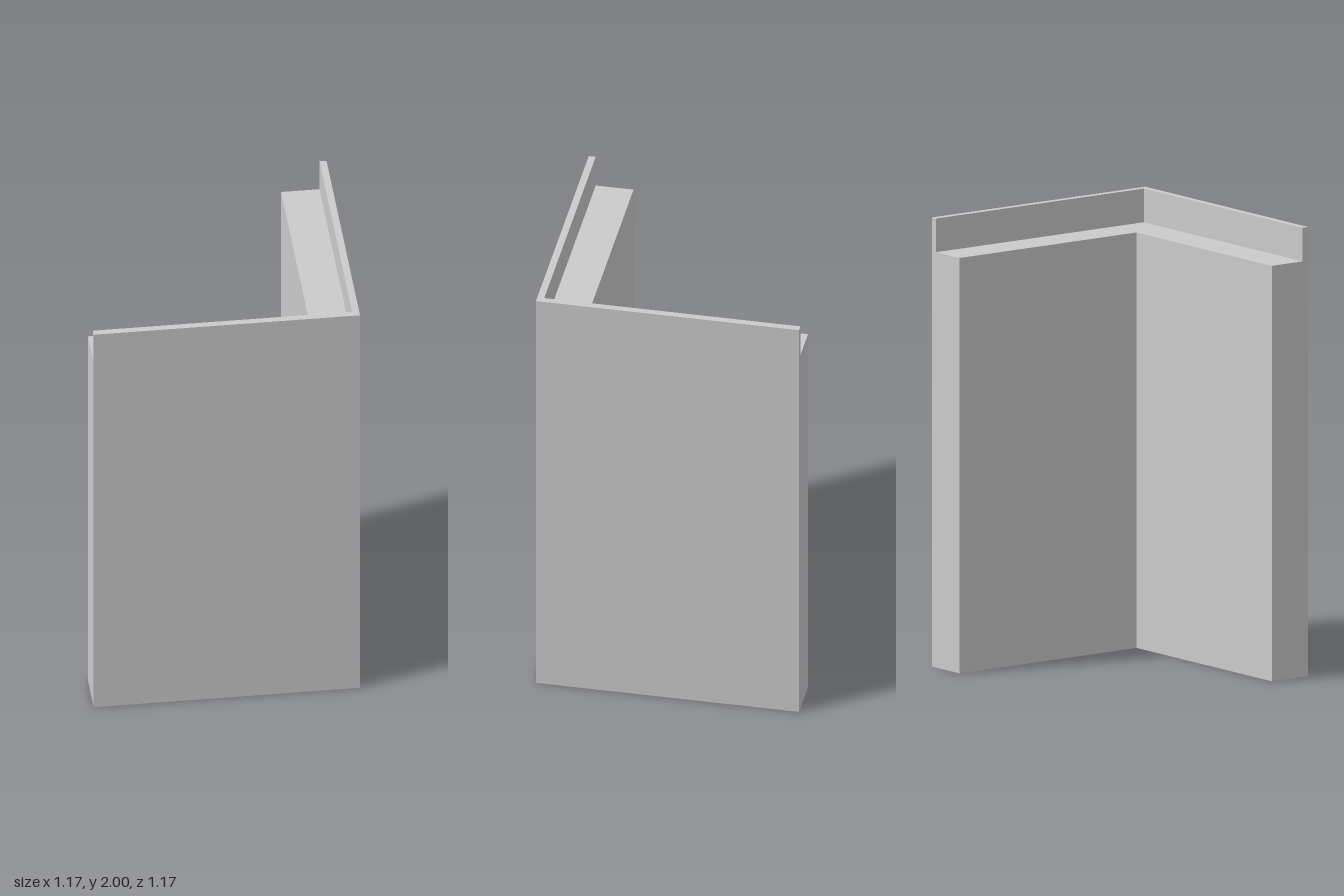
import * as THREE from 'three';

const HALF = 0.587;    // half of the footprint
const INNER = 0.387;   // inner face of the walls
const LIP = 0.556;     // inner face of the raised lip
const LEDGE = 1.85;    // height of the ledge
const TOP = 2;

const material = new THREE.MeshStandardMaterial({ color: 0xcccccc, side: THREE.DoubleSide });

// Box between two corners, leaving out the listed sides (0..5 = +x -x +y -y +z -z)
function openBox(name, [x0, y0, z0], [x1, y1, z1], omit) {
  const geometry = new THREE.BoxGeometry(x1 - x0, y1 - y0, z1 - z0);
  const index = Array.from(geometry.index.array);
  geometry.setIndex(index.filter((_, i) => !omit.includes(Math.floor(i / 6))));
  geometry.clearGroups();
  const mesh = new THREE.Mesh(geometry, material);
  mesh.name = name;
  mesh.position.set((x0 + x1) / 2, (y0 + y1) / 2, (z0 + z1) / 2);
  return mesh;
}

export function createModel() {
  const group = new THREE.Group();
  group.name = 'cornerWall';

  // Hollow walls, open underneath; the side wall butts against the front wall
  group.add(openBox('frontWall', [-HALF, 0, INNER], [HALF, LEDGE, HALF], [3]));
  group.add(openBox('sideWall', [INNER, 0, -HALF], [HALF, LEDGE, INNER], [3, 4]));

  // Thin lip standing on the outer edge of the ledge
  group.add(openBox('frontLip', [-HALF, LEDGE, LIP], [HALF, TOP, HALF], [3]));
  group.add(openBox('sideLip', [LIP, LEDGE, -HALF], [HALF, TOP, LIP], [3, 4]));

  return group;
}
